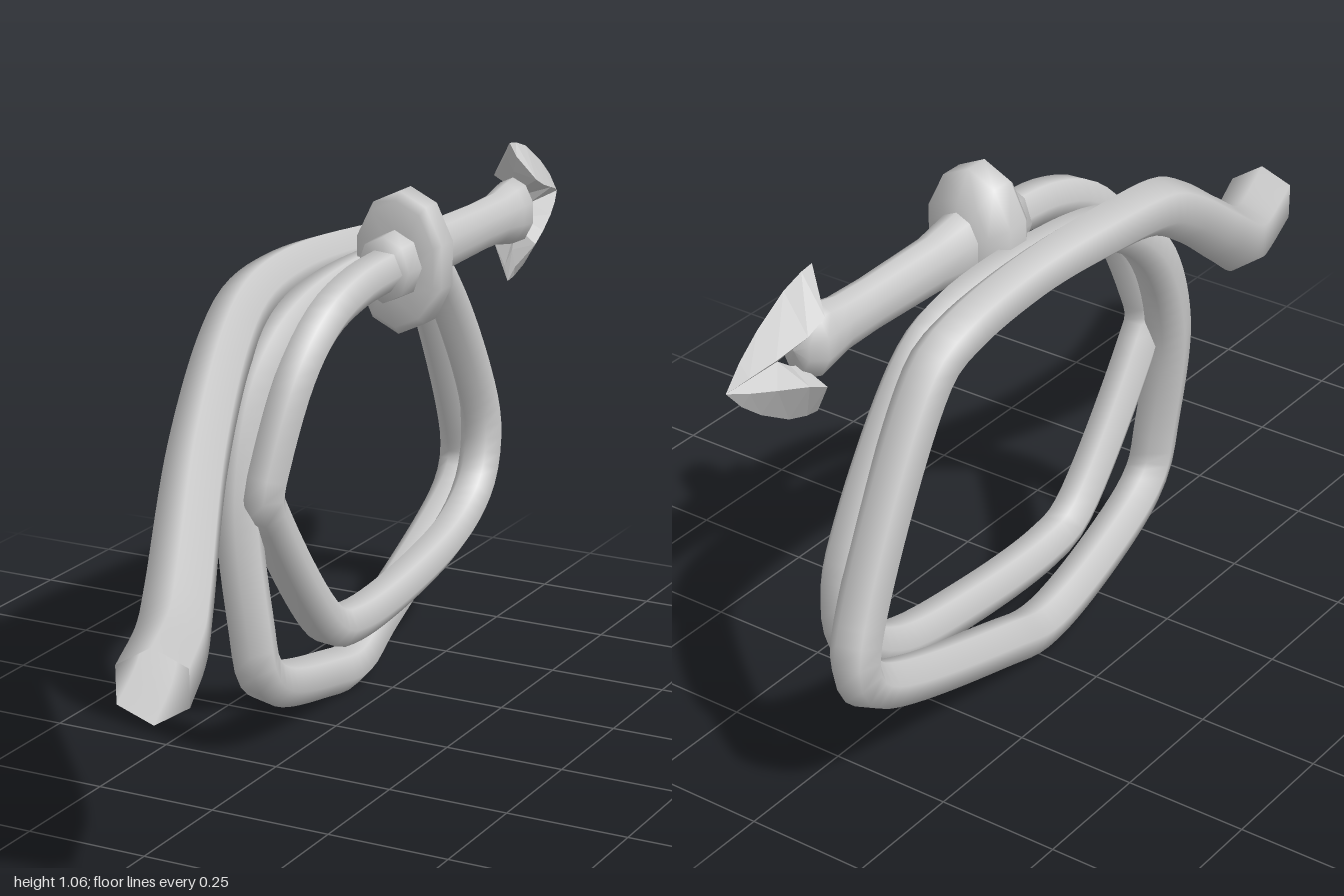
import * as THREE from 'three';

const material = new THREE.MeshStandardMaterial({ color: 0xcccccc, side: THREE.DoubleSide });
const AXIS_X = 0.012, AXIS_Y = 0.913;

function add(group, name, geometry) {
  const mesh = new THREE.Mesh(geometry, material);
  mesh.name = name;
  group.add(mesh);
  return mesh;
}

// Coiled rope: path points are [x, y, z], six-sided, thick at the loose open end
function ropeGeometry() {
  const path = [
    // loose end, rising to the coil
    [0.155, 0.435, 0.965], [0.09, 0.45, 0.79], [0.045, 0.485, 0.69], [-0.08, 0.67, 0.4],
    [-0.145, 0.82, 0.18], [-0.16, 0.88, 0.07], [-0.165, 0.905, -0.1],
    // outer loop
    [-0.15, 0.9, -0.35], [-0.145, 0.87, -0.55], [-0.14, 0.83, -0.62], [-0.14, 0.45, -0.83],
    [-0.145, 0.33, -0.865], [-0.14, 0.265, -0.82], [-0.105, 0.09, -0.36], [-0.09, 0.05, -0.23],
    [-0.085, 0.067, -0.1], [-0.06, 0.14, 0.16], [-0.055, 0.19, 0.22], [-0.06, 0.27, 0.235],
    [-0.09, 0.52, 0.23], [-0.1, 0.71, 0.16], [-0.095, 0.8, 0.08], [-0.09, 0.845, -0.01],
    // inner loop
    [-0.085, 0.875, -0.2], [-0.08, 0.865, -0.48], [-0.08, 0.82, -0.58], [-0.075, 0.56, -0.76],
    [-0.07, 0.42, -0.805], [-0.065, 0.31, -0.77], [-0.06, 0.235, -0.66], [-0.05, 0.185, -0.4],
    [-0.045, 0.175, -0.14], [-0.045, 0.2, -0.05], [-0.04, 0.48, 0.19], [-0.037, 0.54, 0.225],
    [-0.03, 0.61, 0.21], [-0.012, 0.77, 0.14], [0, 0.86, 0.05], [0.008, 0.9, -0.06],
    [AXIS_X, AXIS_Y, -0.2],
  ].map((p) => new THREE.Vector3(...p));
  const curve = new THREE.CatmullRomCurve3(path, false, 'centripetal');
  curve.arcLengthDivisions = 1200;
  const steps = 220, sides = 6;
  const geometry = new THREE.TubeGeometry(curve, steps, 1, sides, false);
  const pos = geometry.attributes.position, v = new THREE.Vector3(), c = new THREE.Vector3();
  for (let i = 0; i <= steps; i++) {
    const u = i / steps;
    const radius = u < 0.2 ? THREE.MathUtils.lerp(0.075, 0.05, u / 0.2)
      : THREE.MathUtils.lerp(0.05, 0.044, (u - 0.2) / 0.8);
    curve.getPointAt(u, c);
    for (let j = 0; j <= sides; j++) {
      const k = i * (sides + 1) + j;
      v.fromBufferAttribute(pos, k).sub(c).multiplyScalar(radius).add(c);
      pos.setXYZ(k, v.x, v.y, v.z);
    }
  }
  return geometry;
}

// Turned part along -z from [radius, distance] pairs, flattened sideways
function turned(profile, sides, flatten) {
  const geometry = new THREE.LatheGeometry(profile.map((p) => new THREE.Vector2(...p)), sides);
  geometry.rotateX(-Math.PI / 2);
  geometry.scale(flatten, 1, 1);
  geometry.translate(AXIS_X, AXIS_Y, 0);
  return geometry;
}

// One barbed arm: diamond sections sweeping from the barb to the tip
function armGeometry(sign) {
  // [outer y, outer z, ridge half width, ridge y, ridge z, inner y, inner z]
  const sections = [
    [0.15, -0.755, 0.012, 0.12, -0.765, 0.085, -0.775],
    [0.146, -0.785, 0.05, 0.07, -0.785, 0.038, -0.795],
    [0.13, -0.835, 0.047, 0.05, -0.83, 0.025, -0.825],
    [0.085, -0.91, 0.032, 0.03, -0.9, 0, -0.86],
    [0.045, -0.96, 0.016, 0.015, -0.955, 0, -0.94],
    [0, -1, 0, 0, -1, 0, -1],
  ];
  const rings = sections.map(([oy, oz, w, ry, rz, iy, iz]) => [
    [0, oy, oz], [w, ry, rz], [0, iy, iz], [-w, ry, rz],
  ].map(([x, y, z]) => [x + AXIS_X, sign * y + AXIS_Y, z]));
  const out = [];
  const tri = (a, b, c) => out.push(...a, ...(sign > 0 ? [...b, ...c] : [...c, ...b]));
  for (let i = 0; i < rings.length - 1; i++) {
    for (let j = 0; j < 4; j++) {
      const k = (j + 1) % 4, a = rings[i], b = rings[i + 1];
      tri(a[j], a[k], b[j]);
      tri(a[k], b[k], b[j]);
    }
  }
  const back = rings[0];
  tri(back[0], back[2], back[1]);
  tri(back[0], back[3], back[2]);
  const geometry = new THREE.BufferGeometry();
  geometry.setAttribute('position', new THREE.Float32BufferAttribute(out, 3));
  geometry.computeVertexNormals();
  return geometry;
}

export function createModel() {
  const group = new THREE.Group();
  add(group, 'rope', ropeGeometry());

  // Fitting on the rope end
  add(group, 'collar', turned([[0, 0.175], [0.068, 0.175], [0.072, 0.235]], 8, 0.85));
  add(group, 'flange', turned(
    [[0.07, 0.225], [0.13, 0.228], [0.147, 0.245], [0.147, 0.295], [0.1, 0.325], [0.07, 0.335]], 10, 0.68));
  add(group, 'shaft', turned(
    [[0.075, 0.32], [0.07, 0.35], [0.058, 0.42], [0.054, 0.6], [0.056, 0.69],
      [0.066, 0.74], [0.072, 0.775], [0.045, 0.808], [0, 0.815]], 10, 0.7));

  // Spearhead with an opening between its two arms
  const head = new THREE.Group();
  head.name = 'spearhead';
  add(head, 'upperBarb', armGeometry(1));
  add(head, 'lowerBarb', armGeometry(-1));
  group.add(head);
  return group;
}
